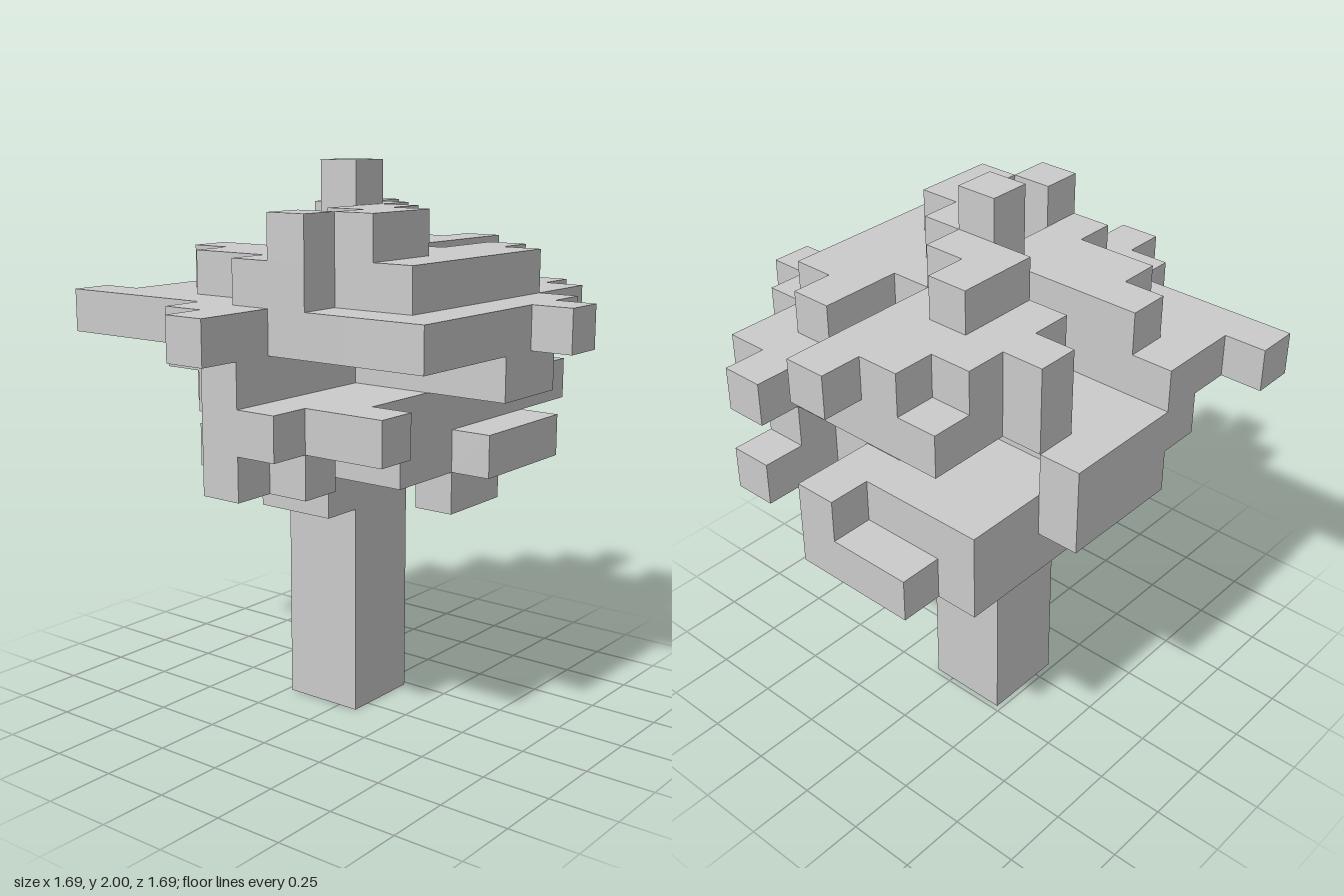
import * as THREE from 'three';
import { mergeGeometries } from 'three/addons/utils/BufferGeometryUtils.js';

const U = 2 / 13; // edge of one block

// Leaf layers by height: runs of blocks as [z, first x, last x]
const LEAVES = {
  5: [[1, -1, 0], [-1, 2, 2], [-2, 2, 2]],
  6: [[4, 0, 0], [3, 0, 1], [2, -2, -1], [1, -2, 2], [0, -2, 2], [-1, -3, 3], [-2, -3, 3],
    [-3, -3, 3], [-4, -3, 0], [-5, -2, 0]],
  7: [[4, 0, 1], [3, 0, 3], [2, 0, 2], [1, -3, 2], [0, -4, 2], [-1, -4, 2], [-2, -4, 2],
    [-3, -3, 2], [-4, -3, 0], [-4, 2, 2], [-5, 0, 0], [-5, 2, 2]],
  8: [[4, 0, 0], [3, 0, 0], [2, 0, 0], [1, -4, 0], [0, -4, 4], [-1, -4, 4], [-2, -4, -4],
    [-2, -1, 2], [-3, 0, 2], [-4, 2, 2]],
  9: [[5, 0, 0], [4, -1, 0], [3, -5, 4], [2, -4, 4], [1, -4, 4], [0, 0, 4], [-1, -2, 5],
    [-2, -3, 0], [-2, 2, 4], [-3, -2, 3], [-4, -2, 3], [-5, 2, 2]],
  10: [[3, 0, 1], [2, -2, 0], [2, 2, 3], [1, -3, 3], [0, 0, 3], [-1, -2, 3], [-2, -3, 0],
    [-2, 2, 3], [-3, -2, 0], [-3, 2, 2], [-4, -1, 0], [-5, 0, 0]],
  11: [[3, 1, 1], [2, 2, 2], [1, 1, 2], [0, 0, 1], [-1, -1, 0], [-2, -1, -1]],
  12: [[0, 0, 0]],
};

// One square per block side: outward direction and the turn that faces it
const H = Math.PI / 2;
const SIDES = [
  [[1, 0, 0], [0, H, 0]], [[-1, 0, 0], [0, -H, 0]],
  [[0, 1, 0], [-H, 0, 0]], [[0, -1, 0], [H, 0, 0]],
  [[0, 0, 1], [0, 0, 0]], [[0, 0, -1], [0, 2 * H, 0]],
].map(([d, r]) => {
  const face = new THREE.PlaneGeometry(U, U);
  face.rotateX(r[0]).rotateY(r[1]).translate(d[0] * U / 2, d[1] * U / 2, d[2] * U / 2);
  return { d, face };
});

const key = (x, y, z) => `${x},${y},${z}`;

// Skin of a set of blocks, without the sides hidden between neighbours
function blockSkin(cells, filled) {
  const faces = [];
  for (const [x, y, z] of cells) {
    for (const { d, face } of SIDES) {
      if (filled.has(key(x + d[0], y + d[1], z + d[2]))) continue;
      faces.push(face.clone().translate(x * U, (y + 0.5) * U, z * U));
    }
  }
  return mergeGeometries(faces);
}

export function createModel() {
  const tree = new THREE.Group();
  tree.name = 'blockTree';
  const material = new THREE.MeshStandardMaterial({ color: 0xcccccc, flatShading: true });

  // Trunk: two by two blocks, six high
  const trunkCells = [];
  for (let y = 0; y < 6; y++)
    for (const x of [-1, 0]) for (const z of [-1, 0]) trunkCells.push([x, y, z]);

  // Crown: runs spread into blocks
  const layers = Object.entries(LEAVES).map(([y, runs]) => {
    const cells = [];
    for (const [z, x0, x1] of runs) for (let x = x0; x <= x1; x++) cells.push([x, +y, z]);
    return cells;
  });

  const filled = new Set([...trunkCells, ...layers.flat()].map((c) => key(...c)));

  const trunk = new THREE.Mesh(blockSkin(trunkCells, filled), material);
  trunk.name = 'trunk';
  tree.add(trunk);

  const crown = new THREE.Group();
  crown.name = 'crown';
  layers.forEach((cells, i) => {
    const layer = new THREE.Mesh(blockSkin(cells, filled), material);
    layer.name = `leafLayer${i + 1}`;
    crown.add(layer);
  });
  tree.add(crown);
  return tree;
}
